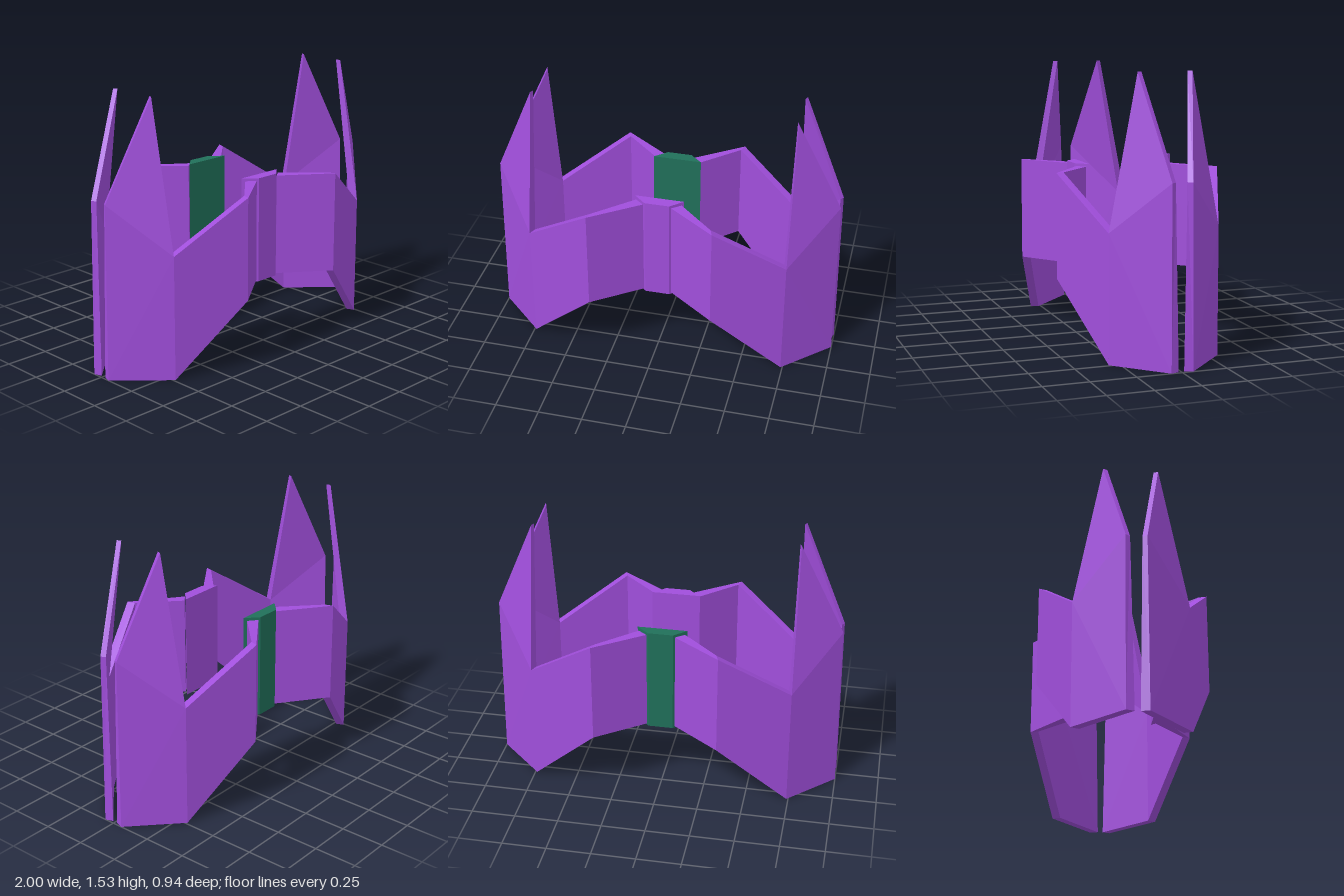
import * as THREE from 'three';

// Flat-sided plate: outer and inner outlines, counter-clockwise seen from outside.
// sx, sz mirror it; the winding is flipped when the mirroring turns it inside out.
function plate(name, outer, inner, material, sx = 1, sz = 1) {
  const pos = [];
  const n = outer.length;
  const tri = (a, b, c) => {
    const order = sx * sz < 0 ? [a, c, b] : [a, b, c];
    order.forEach(p => pos.push(p[0] * sx, p[1], p[2] * sz));
  };
  for (let i = 1; i < n - 1; i++) {
    tri(outer[0], outer[i], outer[i + 1]);
    tri(inner[0], inner[i + 1], inner[i]);
  }
  for (let i = 0; i < n; i++) {
    const j = (i + 1) % n;
    tri(outer[i], inner[i], inner[j]);
    tri(outer[i], inner[j], outer[j]);
  }
  const geometry = new THREE.BufferGeometry();
  geometry.setAttribute('position', new THREE.Float32BufferAttribute(pos, 3));
  geometry.computeVertexNormals();
  const mesh = new THREE.Mesh(geometry, material);
  mesh.name = name;
  return mesh;
}

export function createModel() {
  const model = new THREE.Group();
  model.name = 'wingedBand';
  const purple = new THREE.MeshStandardMaterial({ color: 0xa04edb, flatShading: true });
  purple.name = 'purple';
  const green = new THREE.MeshStandardMaterial({ color: 0x20705a, flatShading: true });
  green.name = 'green';

  // Panel running from the centre block out to the bend
  const innerPanel = {
    outer: [[0.08, 0.975, 0.27], [0.08, 0.395, 0.27], [0.35, 0.395, 0.47], [0.35, 0.975, 0.47]],
    inner: [[0.13, 0.975, 0.23], [0.13, 0.395, 0.23], [0.335, 0.395, 0.425], [0.335, 0.975, 0.425]],
  };
  // Panel sloping down from the bend to the notch
  const slopedPanel = {
    outer: [[0.35, 0.975, 0.47], [0.35, 0.395, 0.47], [0.74, 0, 0.31], [0.74, 0.7, 0.31]],
    inner: [[0.335, 0.975, 0.425], [0.335, 0.395, 0.425], [0.722, 0, 0.265], [0.722, 0.7, 0.265]],
  };
  // End panel rising into a leaning spike
  const spikePanel = {
    outer: [[0.74, 0.7, 0.31], [0.74, 0, 0.31], [1, 0, 0.06], [0.987, 0.98, 0.057], [0.74, 1.53, 0.152]],
    inner: [[0.722, 0.7, 0.265], [0.722, 0, 0.265], [0.985, 0, 0.015], [0.972, 0.98, 0.032], [0.73, 1.53, 0.128]],
  };
  // Tapered block in the middle of each wall
  const block = {
    outer: [[-0.07, 0.99, 0.277], [-0.07, 0.385, 0.277], [0.07, 0.385, 0.277], [0.07, 0.99, 0.277]],
    inner: [[-0.14, 0.99, 0.212], [-0.14, 0.385, 0.212], [0.14, 0.385, 0.212], [0.14, 0.99, 0.212]],
  };

  for (const sz of [1, -1]) {
    const wall = new THREE.Group();
    wall.name = sz > 0 ? 'frontWall' : 'backWall';
    wall.add(plate('centreBlock', block.outer, block.inner, sz > 0 ? purple : green, 1, sz));
    for (const sx of [1, -1]) {
      const side = sx > 0 ? 'left' : 'right';
      wall.add(
        plate(side + 'InnerPanel', innerPanel.outer, innerPanel.inner, purple, sx, sz),
        plate(side + 'SlopedPanel', slopedPanel.outer, slopedPanel.inner, purple, sx, sz),
        plate(side + 'SpikePanel', spikePanel.outer, spikePanel.inner, purple, sx, sz),
      );
    }
    model.add(wall);
  }
  return model;
}
